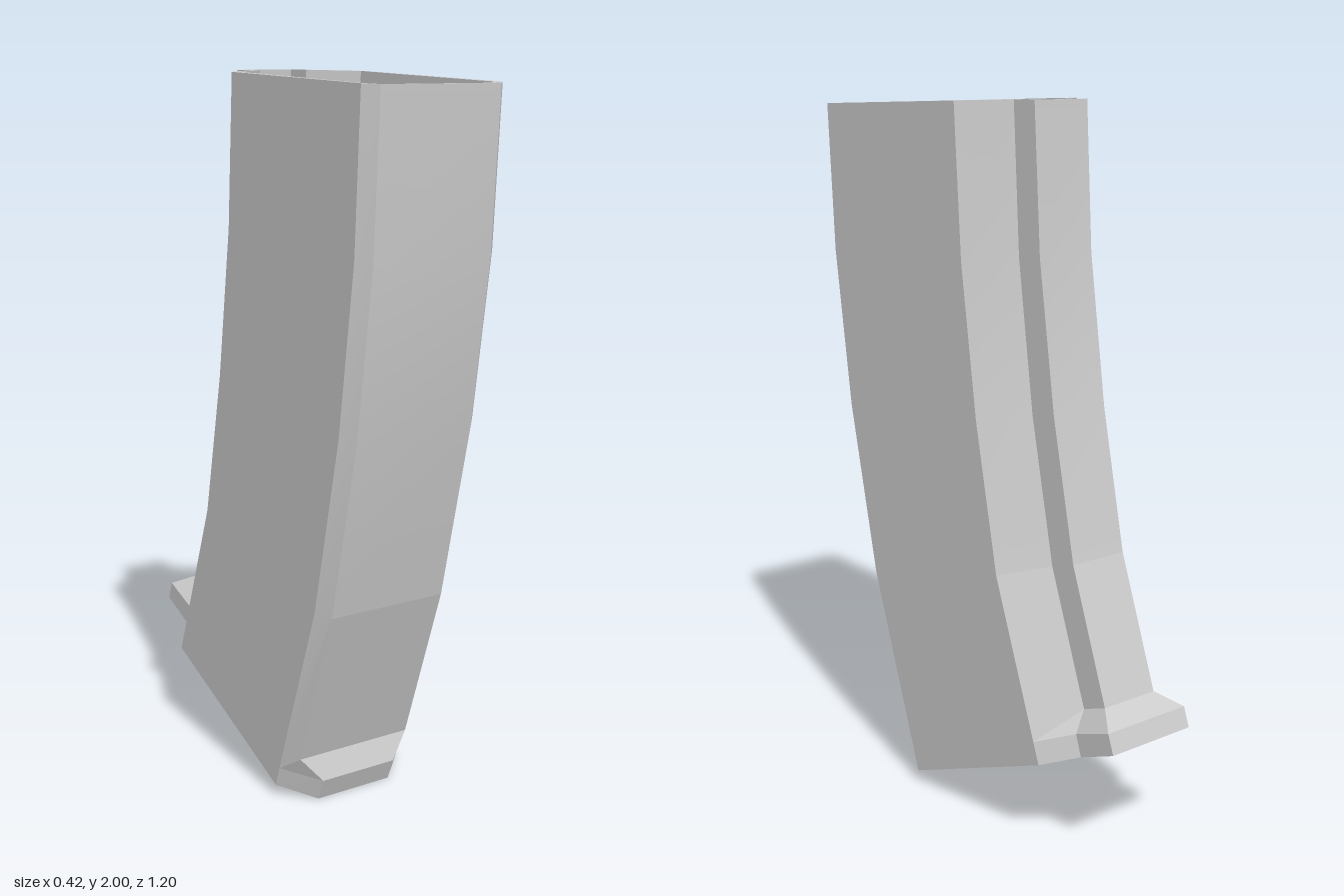
import * as THREE from 'three';
import { toCreasedNormals } from 'three/addons/utils/BufferGeometryUtils.js';

// Each level lists half of a cross-section, front to back, as [x, y, z]:
// front edge, front chamfer, rear side corner, spine root, spine back.
const W = 0.212, N = 0.09;
const level = (xf, xs, ...yz) => yz.map(([y, z], i) => [[xf, W, W, xs, xs][i], y, z]);
const LEVELS = [
  level(0.18, N, [1.975, 0.6], [1.977, 0.565], [1.997, -0.034], [2, -0.13], [2, -0.213]),
  level(0.18, N, [1.55, 0.577], [1.56, 0.543], [1.585, -0.06], [1.595, -0.152], [1.6, -0.237]),
  level(0.18, N, [1.1, 0.515], [1.107, 0.48], [1.165, -0.12], [1.178, -0.21], [1.19, -0.297]),
  level(0.18, N, [0.6, 0.405], [0.61, 0.37], [0.75, -0.205], [0.775, -0.295], [0.8, -0.38]),
  // flared lip: neck, upper edge, base
  level(0.18, N, [0.135, 0.25], [0.15, 0.21], [0.38, -0.341], [0.405, -0.43], [0.435, -0.512]),
  level(0.12, 0.14, [0.065, 0.275], [0.093, 0.19], [0.32, -0.363], [0.355, -0.455], [0.4, -0.58]),
  level(0.12, 0.14, [0, 0.25], [0.034, 0.17], [0.26, -0.385], [0.295, -0.475], [0.345, -0.6]),
];

// Full ring, counter-clockwise seen from above
const ring = half => [...half, ...half.map(([x, y, z]) => [-x, y, z]).reverse()];

// Wall thickness as an inward shift of each half-section point
const DX = [0.015, 0.019, 0.019, 0.015, 0.015];
const DZ = [-0.017, -0.014, 0.012, 0.012, 0.015];
const inset = half => half.map(([x, y, z], i) => [x - DX[i], y, z + DZ[i]]);

const quad = (out, a, b, c, d) => out.push(...a, ...b, ...c, ...a, ...c, ...d);

// Wall between two rings; the face looks outward when "low" lies below "high"
function band(out, low, high) {
  low.forEach((p, i) => {
    const j = (i + 1) % low.length;
    quad(out, p, low[j], high[j], high[i]);
  });
}

// Cap made of strips across the mirrored pairs of a half-section
function cap(out, half, up) {
  const m = ([x, y, z]) => [-x, y, z];
  for (let i = 0; i < half.length - 1; i++) {
    const a = half[i], b = half[i + 1];
    if (up) quad(out, a, b, m(b), m(a));
    else quad(out, a, m(a), m(b), b);
  }
}

function part(name, positions, material) {
  const g = new THREE.BufferGeometry();
  g.setAttribute('position', new THREE.Float32BufferAttribute(positions, 3));
  g.computeVertexNormals();
  const mesh = new THREE.Mesh(toCreasedNormals(g, 0.1), material);
  mesh.name = name;
  return mesh;
}

export function createModel() {
  const group = new THREE.Group();
  group.name = 'curvedMagazine';
  const material = new THREE.MeshStandardMaterial({ color: 0xcccccc });

  // Outer shell with flared lip and closed base
  const outer = LEVELS.map(ring);
  const shell = [];
  for (let i = 0; i < outer.length - 1; i++) band(shell, outer[i + 1], outer[i]);
  cap(shell, LEVELS[LEVELS.length - 1], false);
  group.add(part('shell', shell, material));

  // Hollow interior down to the floor at the neck of the lip
  const innerHalves = LEVELS.slice(0, 5).map(inset);
  const inner = innerHalves.map(ring);
  const cavity = [];
  for (let i = 0; i < inner.length - 1; i++) band(cavity, inner[i], inner[i + 1]);
  cap(cavity, innerHalves[4], true);
  group.add(part('cavity', cavity, material));

  // Thin rim around the opening
  const rim = [];
  band(rim, outer[0], inner[0]);
  group.add(part('rim', rim, material));

  return group;
}
